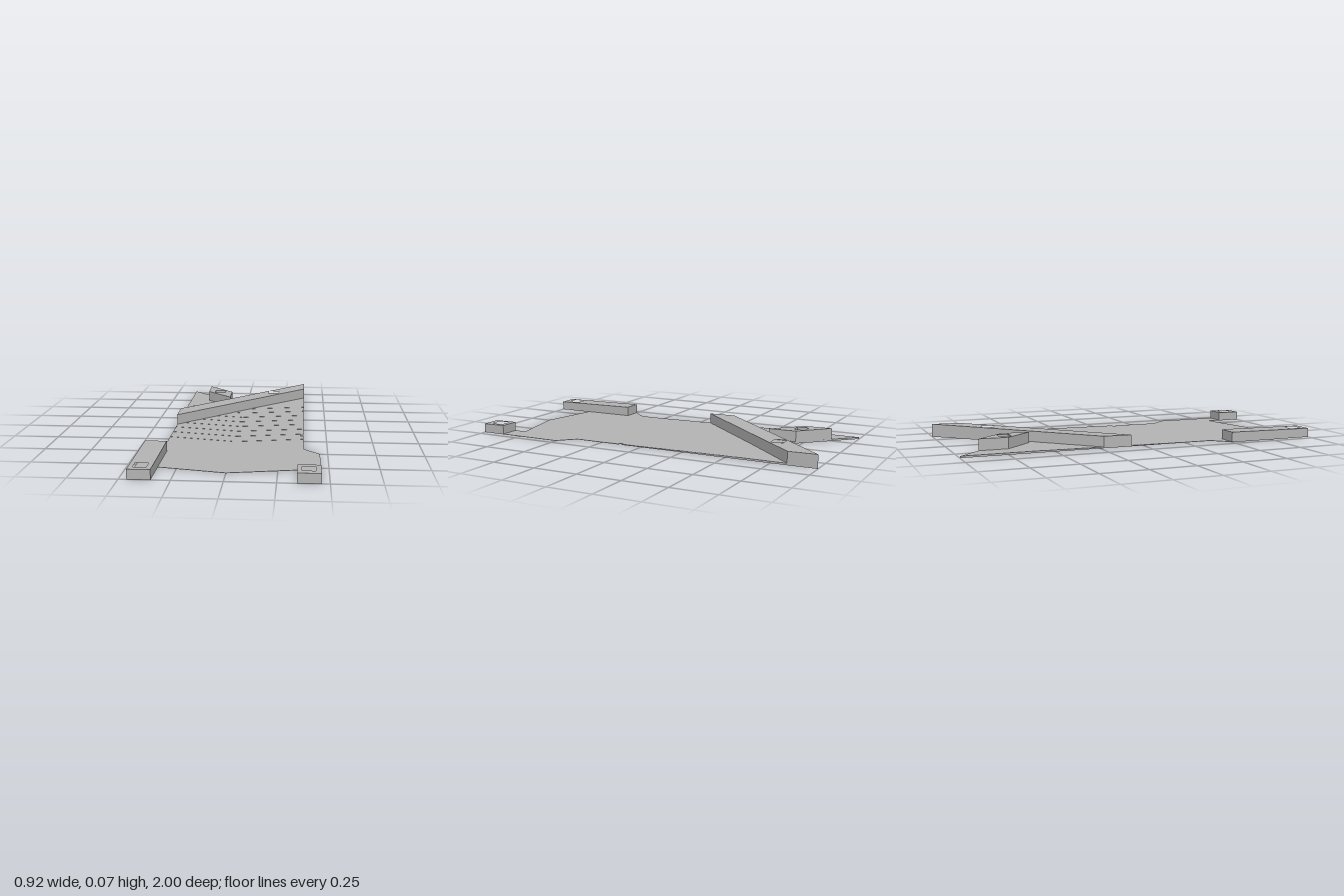
import * as THREE from 'three';

const grey = new THREE.MeshStandardMaterial({ color: 0xb4b4b4 });
grey.name = 'plain grey';

// Square screw holes: centre x, centre z
const HALF = 0.033;
const rearHoles = [[-0.178, -0.722], [0.174, -0.722]];
const frontHoles = [[-0.404, 0.928], [0.4, 0.928]];

// Extrude a plan outline of [x, z] points upwards, with square holes
function slab(outline, holes, height) {
  const toVec = ([x, z]) => new THREE.Vector2(x, -z);
  const shape = new THREE.Shape(outline.map(toVec));
  for (const [x, z] of holes) {
    shape.holes.push(new THREE.Path([
      [x - HALF, z - HALF], [x + HALF, z - HALF],
      [x + HALF, z + HALF], [x - HALF, z + HALF],
    ].map(toVec)));
  }
  const geo = new THREE.ExtrudeGeometry(shape, { depth: height, bevelEnabled: false });
  return geo.rotateX(-Math.PI / 2);
}

function addMesh(group, name, geo) {
  const mesh = new THREE.Mesh(geo, grey);
  mesh.name = name;
  group.add(mesh);
}

// Raised block whose top climbs gently towards the back
function block(outline, holes) {
  const geo = slab(outline, holes, 1);
  const p = geo.attributes.position;
  for (let i = 0; i < p.count; i++) {
    p.setY(i, p.getY(i) > 0.5 ? 0.062 - 0.0115 * p.getZ(i) : 0.0005);
  }
  geo.computeVertexNormals();
  return geo;
}

export function createModel() {
  const model = new THREE.Group();
  model.name = 'bracketPlate';

  const rearEdge = [[-0.373, -1], [0, -0.615], [0.373, -1]];
  const sideNotch = [[0.373, 0.12], [0.355, 0.12], [0.355, 0.142], [0.373, 0.142]];

  // Thin base plate with forked back, pointed front and two arms
  addMesh(model, 'basePlate', slab([
    ...rearEdge, ...sideNotch,
    [0.373, 0.41], [0.46, 0.5], [0.46, 1], [0.345, 1], [0.345, 0.795],
    [0, 0.868],
    [-0.345, 0.795], [-0.345, 1], [-0.46, 1], [-0.46, 0.5], [-0.373, 0.41],
  ], [...rearHoles, ...frontHoles], 0.002));

  // Fine chevron-fronted layers that step up towards the back
  const layers = new THREE.Group();
  layers.name = 'chevronLayers';
  const step = 0.001;
  for (let i = 0; i < 8; i++) {
    const z = 0.21 - 0.11 * i;
    const geo = slab([
      ...rearEdge, ...(z > 0.142 ? sideNotch : []),
      [0.373, z], [0, z + 0.078], [-0.373, z],
    ], rearHoles, step);
    geo.translate(0, 0.002 + i * step, 0);
    addMesh(layers, 'chevronLayer', geo);
  }
  model.add(layers);

  // Raised blocks around the screw holes
  addMesh(model, 'diagonalBar', block([
    [0.373, -1], [0.373, -0.84], [-0.373, -0.07], [-0.373, -0.23], [0, -0.615],
  ], [rearHoles[1]]));
  addMesh(model, 'rearRightBlock', block([
    [-0.253, -0.876], [-0.253, -0.718], [-0.1, -0.56], [-0.1, -0.718],
  ], [rearHoles[0]]));
  addMesh(model, 'frontRightBar', block([
    [-0.46, 0.5], [-0.345, 0.5], [-0.345, 1], [-0.46, 1],
  ], [frontHoles[0]]));
  addMesh(model, 'frontLeftBlock', block([
    [0.345, 0.865], [0.46, 0.865], [0.46, 1], [0.345, 1],
  ], [frontHoles[1]]));

  return model;
}
